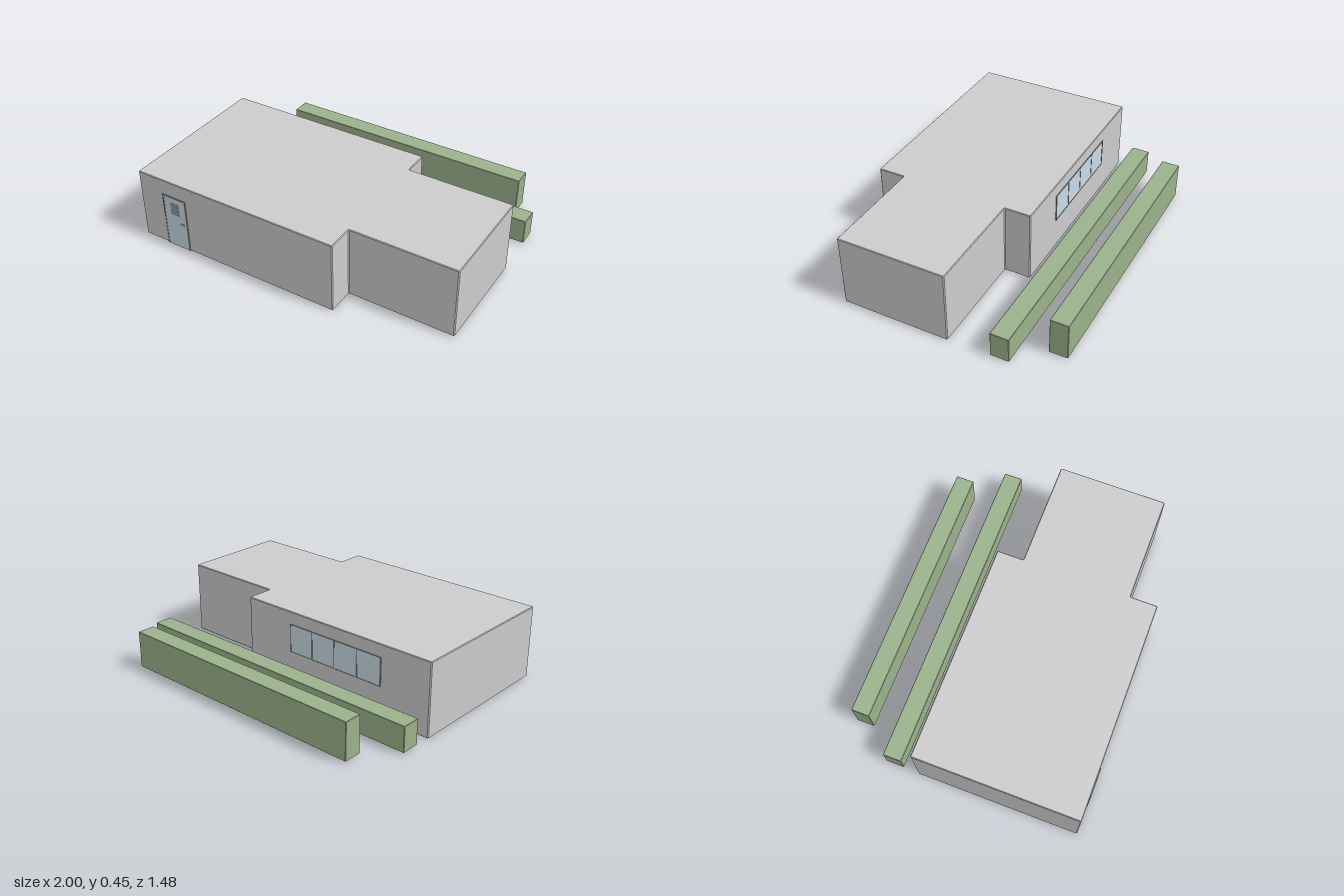
import * as THREE from 'three';

const mat = (color) => new THREE.MeshStandardMaterial({ color });
const grey = mat(0xcccccc);
const green = mat(0x9bb28c);
const blue = mat(0xc8dae5);
const dark = mat(0x8c949a);

// Plan outline with every corner cut by a small chamfer
function chamferedShape(points, c) {
  const shape = new THREE.Shape();
  const corners = points.map(([x, y]) => new THREE.Vector2(x, y));
  const n = corners.length;
  corners.forEach((p, i) => {
    const toward = (q) => q.clone().sub(p).setLength(c).add(p);
    const a = toward(corners[(i + n - 1) % n]);
    const b = toward(corners[(i + 1) % n]);
    if (i === 0) shape.moveTo(a.x, a.y);
    else shape.lineTo(a.x, a.y);
    shape.lineTo(b.x, b.y);
  });
  shape.closePath();
  return shape;
}

// Upright block extruded from a plan outline given as [x, z]
function planBlock(name, outline, y0, y1, edge, material) {
  const shape = chamferedShape(outline.map(([x, z]) => [x, -z]), edge * 1.4);
  const geo = new THREE.ExtrudeGeometry(shape, {
    depth: y1 - y0 - 2 * edge, bevelEnabled: true, bevelSegments: 1,
    bevelThickness: edge, bevelSize: edge, bevelOffset: -edge,
  });
  geo.rotateX(-Math.PI / 2).translate(0, y0 + edge, 0);
  const mesh = new THREE.Mesh(geo, material);
  mesh.name = name;
  return mesh;
}

const rect = (x0, x1, z0, z1) => [[x0, z1], [x1, z1], [x1, z0], [x0, z0]];

// Box between two corners
function box(name, x0, x1, y0, y1, z0, z1, material) {
  const mesh = new THREE.Mesh(new THREE.BoxGeometry(x1 - x0, y1 - y0, z1 - z0), material);
  mesh.position.set((x0 + x1) / 2, (y0 + y1) / 2, (z0 + z1) / 2);
  mesh.name = name;
  return mesh;
}

export function createModel() {
  const model = new THREE.Group();
  model.name = 'building';

  // Main hall with the narrower wing on its left
  model.add(planBlock('walls', [
    [-1, 0.735], [0.337, 0.735], [0.337, 0.567], [0.997, 0.567],
    [0.997, -0.105], [0.337, -0.105], [0.337, -0.27], [-1, -0.27],
  ], 0, 0.453, 0.004, grey));

  // Front door: frame, leaf, small pane and handle
  const door = new THREE.Group();
  door.name = 'door';
  door.add(
    box('doorLeaf', -0.822, -0.671, 0, 0.347, 0.725, 0.738, blue),
    box('doorFrameTop', -0.83, -0.663, 0.347, 0.355, 0.725, 0.74, dark),
    box('doorFrameRight', -0.83, -0.822, 0, 0.347, 0.725, 0.74, dark),
    box('doorFrameLeft', -0.671, -0.663, 0, 0.347, 0.725, 0.74, dark),
    box('doorPane', -0.776, -0.718, 0.23, 0.312, 0.73, 0.739, dark),
    box('doorHandle', -0.712, -0.686, 0.177, 0.183, 0.73, 0.742, dark),
  );
  model.add(door);

  // Back window: four panes between thin bars
  const backWindow = new THREE.Group();
  backWindow.name = 'backWindow';
  const left = -0.668, paneWidth = 0.167, bar = 0.004;
  for (let i = 0; i < 4; i++) {
    const x = left + i * paneWidth;
    backWindow.add(box('windowPane', x + bar, x + paneWidth - bar, 0.202, 0.371, -0.273, -0.26, blue));
  }
  for (let i = 0; i <= 4; i++) {
    const x = left + i * paneWidth;
    backWindow.add(box('windowBar', x - bar, x + bar, 0.202, 0.371, -0.275, -0.26, dark));
  }
  for (const y of [0.198, 0.371]) {
    backWindow.add(box('windowRail', left - bar, left + 4 * paneWidth + bar, y, y + bar, -0.275, -0.26, dark));
  }
  model.add(backWindow);

  // Two clipped hedges behind the building
  model.add(
    planBlock('lowHedge', rect(-0.997, 0.99, -0.477, -0.363), 0.005, 0.162, 0.002, green),
    planBlock('tallHedge', rect(-0.829, 0.824, -0.742, -0.63), 0.005, 0.236, 0.002, green),
  );

  return model;
}
